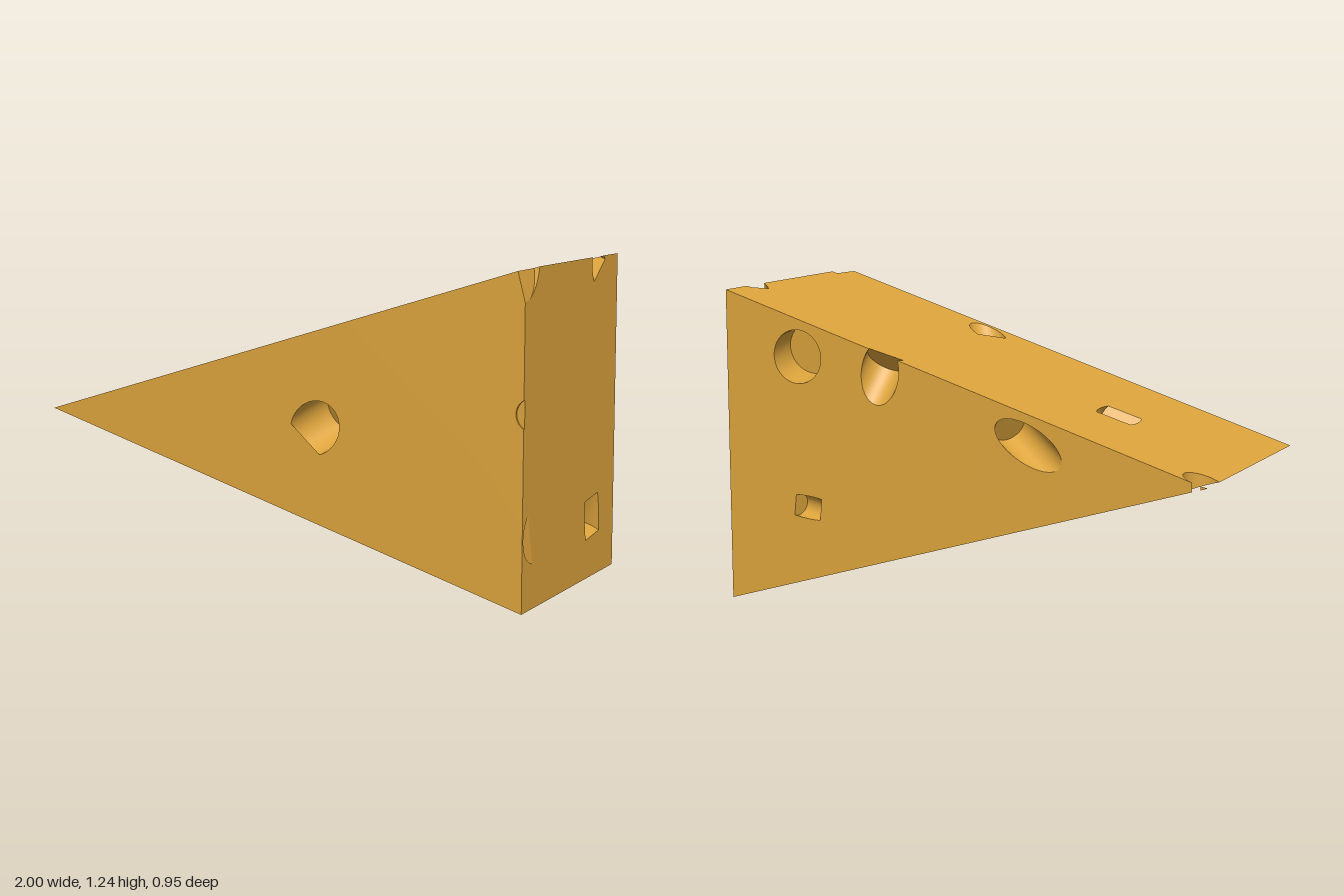
import * as THREE from 'three';

const V = (x, y, z) => new THREE.Vector3(x, y, z);
const EPS = 1e-6;
const SIDES = 40;

// Wedge size: half length, height, half depth
const L = 1, H = 1.235, D = 0.476;
const slope = (x) => 0.3075 * (x + 1);
const topY = (x) => H / 2 + slope(x);
const bottomY = (x) => H / 2 - slope(x);

// Round cutters: centre, axis, radius, length
const HOLES = [
  // front face
  { c: [0.19, 0.64, 0.41], a: [0.3, 0.33, -0.895], r: 0.097, h: 0.2 },
  { c: [1.03, 0.72, 0.567], a: [0, 0, 1], r: 0.06, h: 0.2 },
  // back face
  { c: [0.686, 0.995, -0.42], a: [0.1, 0.1, 1], r: 0.104, h: 0.2 },
  { c: [0.32, 0.93, -0.49], a: [-0.1, 0.75, 0.65], r: 0.08, h: 0.18 },
  { c: [0.643, 0.4, -0.475], a: [1, 0.1, 0.3], r: 0.045, h: 0.11 },
  { c: [-0.3, 0.72, -0.475], a: [0.78, 0.42, 0.47], r: 0.07, h: 0.28 },
  // notch through the thin tip
  { c: [-0.96, 0.615, -0.405], a: [0, 1, 0], r: 0.073, h: 0.5 },
  // sloping top
  { c: [-0.48, topY(-0.48), -0.035], a: [0.2, -0.5, 0.85], r: 0.08, h: 0.11 },
  { c: [0.3, 1.06, 0.395], a: [0.4, 0.75, 0.5], r: 0.07, h: 0.2 },
  // thick end
  { c: [1, 0.235, -0.235], a: [0.4, 0.9, 0.1], r: 0.077, h: 0.14 },
  { c: [1.07, 1.24, -0.235], a: [0.7, 0.6, 0.4], r: 0.07, h: 0.2 },
  { c: [1.11, 0.258, 0.402], a: [0.9, -0.1, 0.42], r: 0.105, h: 0.2 },
  { c: [1.055, 1.295, 0.505], a: [0.95, 0.25, 0.05], r: 0.165, h: 0.2 },
  // sloping underside
  { c: [0.64, bottomY(0.64), -0.15], a: [0.6, 0.5, 0.6], r: 0.045, h: 0.09 },
  { c: [-0.35, bottomY(-0.35), -0.39], a: [0.4, 1, 0.2], r: 0.065, h: 0.1 },
  { c: [-0.63, bottomY(-0.63) - 0.045, 0.13], a: [-1, 0.3, -1], r: 0.05, h: 0.15 },
];

const planeOf = (poly) => new THREE.Plane().setFromCoplanarPoints(poly[0], poly[1], poly[2]);

// Cut a convex polygon by a plane into its outer and inner part
function split(poly, plane) {
  const outer = [], inner = [];
  poly.forEach((p, i) => {
    const q = poly[(i + 1) % poly.length];
    const dp = plane.distanceToPoint(p), dq = plane.distanceToPoint(q);
    if (dp >= -EPS) outer.push(p);
    if (dp <= EPS) inner.push(p);
    if ((dp > EPS && dq < -EPS) || (dp < -EPS && dq > EPS)) {
      const m = p.clone().lerp(q, dp / (dp - dq));
      outer.push(m);
      inner.push(m);
    }
  });
  const hasOuter = poly.some((p) => plane.distanceToPoint(p) > EPS);
  return [hasOuter && outer.length > 2 ? outer : null, inner.length > 2 ? inner : null];
}

// Part of a polygon within a convex solid
function inside(poly, planes) {
  for (const plane of planes) {
    if (!poly) return null;
    poly = split(poly, plane)[1];
  }
  return poly;
}

// Parts of a polygon beyond a convex solid
function outside(poly, planes) {
  const parts = [];
  let rest = poly;
  for (const plane of planes) {
    const [outer, inner] = split(rest, plane);
    if (outer) parts.push(outer);
    if (!inner) return [poly];
    rest = inner;
  }
  return parts;
}

// Polygons and planes of one round cutter
function makeCutter({ c, a, r, h }) {
  const centre = V(...c), axis = V(...a).normalize();
  const turn = new THREE.Quaternion().setFromUnitVectors(V(0, 1, 0), axis);
  const ring = (y) => Array.from({ length: SIDES }, (_, i) => {
    const t = (i / SIDES) * Math.PI * 2;
    return V(r * Math.sin(t), y, r * Math.cos(t)).applyQuaternion(turn).add(centre);
  });
  const low = ring(-h / 2), high = ring(h / 2);
  const walls = low.map((p, i) => {
    const j = (i + 1) % SIDES;
    return [p, low[j], high[j], high[i]];
  });
  const caps = [high, [...low].reverse()];
  const planes = [...caps, ...walls].map(planeOf);
  // Smooth normal of the hollow wall, towards the axis
  const wallNormal = (p) => {
    const d = centre.clone().sub(p);
    return d.addScaledVector(axis, -d.dot(axis)).normalize();
  };
  return { walls, caps, planes, wallNormal };
}

// Collects convex polygons as triangle fans
function makeMesh(name, faces, material) {
  const position = [], normal = [];
  for (const { poly, normalAt } of faces) {
    for (let i = 1; i < poly.length - 1; i++) {
      for (const p of [poly[0], poly[i], poly[i + 1]]) {
        position.push(p.x, p.y, p.z);
        const n = normalAt(p);
        normal.push(n.x, n.y, n.z);
      }
    }
  }
  const g = new THREE.BufferGeometry();
  g.setAttribute('position', new THREE.Float32BufferAttribute(position, 3));
  g.setAttribute('normal', new THREE.Float32BufferAttribute(normal, 3));
  const mesh = new THREE.Mesh(g, material);
  mesh.name = name;
  return mesh;
}

export function createModel() {
  const group = new THREE.Group();
  group.name = 'cheeseWedge';
  const cheese = new THREE.MeshStandardMaterial({ color: 0xdda43c });

  // Wedge faces: front, back, and the three sides
  const outline = [[-L, H / 2], [L, 0], [L, H]];
  const front = outline.map(([x, y]) => V(x, y, D));
  const back = outline.map(([x, y]) => V(x, y, -D));
  const faces = [front, [...back].reverse()];
  for (let i = 0; i < 3; i++) {
    const j = (i + 1) % 3;
    faces.push([front[i], back[i], back[j], front[j]]);
  }
  const wedgePlanes = faces.map(planeOf);
  const cutters = HOLES.map(makeCutter);

  // Outer surface with the openings removed
  const body = [];
  faces.forEach((face, f) => {
    let parts = [face];
    for (const cutter of cutters) parts = parts.flatMap((p) => outside(p, cutter.planes));
    for (const poly of parts) body.push({ poly, normalAt: () => wedgePlanes[f].normal });
  });
  group.add(makeMesh('wedgeBody', body, cheese));

  // Hollow walls and floors of each hole, kept within the wedge
  cutters.forEach((cutter, k) => {
    const hollow = [];
    const add = (source, normalAt) => {
      const poly = inside([...source].reverse(), wedgePlanes);
      if (!poly) return;
      let parts = [poly];
      for (const other of cutters) {
        if (other !== cutter) parts = parts.flatMap((p) => outside(p, other.planes));
      }
      for (const p of parts) hollow.push({ poly: p, normalAt });
    };
    for (const wall of cutter.walls) add(wall, cutter.wallNormal);
    for (const cap of cutter.caps) {
      const n = planeOf(cap).normal.negate();
      add(cap, () => n);
    }
    if (hollow.length) group.add(makeMesh(`hole${k + 1}`, hollow, cheese));
  });
  return group;
}
